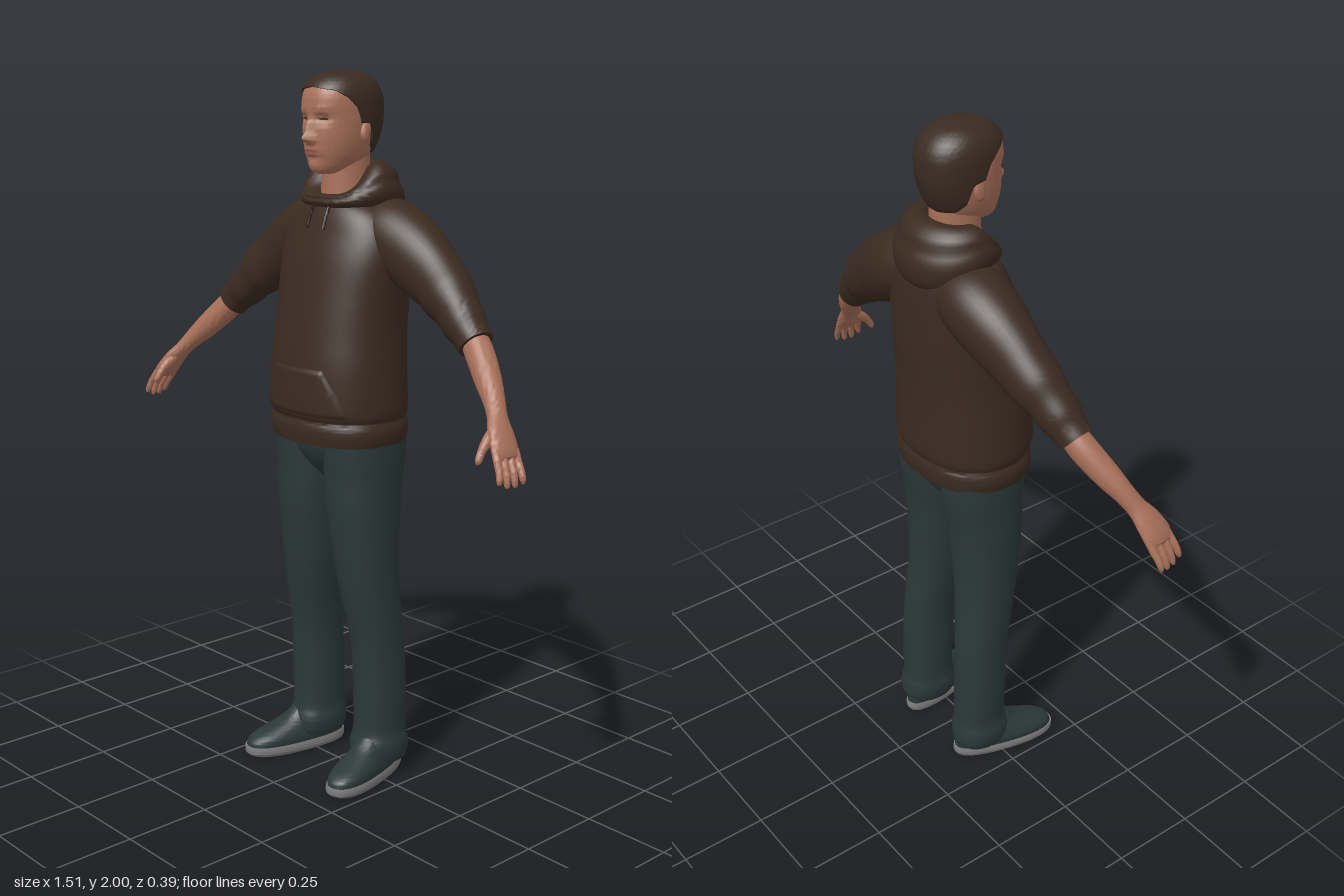
import * as THREE from 'three';
import { toCreasedNormals } from 'three/addons/utils/BufferGeometryUtils.js';

const V3 = (x, y, z) => new THREE.Vector3(x, y, z);
const lerp = THREE.MathUtils.lerp;
const mat = (name, color) => Object.assign(new THREE.MeshStandardMaterial({ color }), { name });

// Surface from fn(i / nu, j / nv); faces look along u cross v
function grid(fn, nu, nv) {
  const pos = [], idx = [], w = nu + 1;
  for (let j = 0; j <= nv; j++) for (let i = 0; i <= nu; i++) pos.push(...fn(i / nu, j / nv).toArray());
  for (let j = 0; j < nv; j++) for (let i = 0; i < nu; i++) {
    const a = j * w + i;
    idx.push(a, a + 1, a + w + 1, a, a + w + 1, a + w);
  }
  const g = new THREE.BufferGeometry();
  g.setAttribute('position', new THREE.Float32BufferAttribute(pos, 3));
  g.setIndex(idx);
  return g;
}

// Catmull-Rom refinement of cross-sections [x, y, z, radiusU, radiusV]
function smooth(secs, n = 5) {
  const out = [], at = i => secs[THREE.MathUtils.clamp(i, 0, secs.length - 1)];
  for (let i = 0; i < secs.length - 1; i++) for (let k = 0; k < n; k++) {
    const t = k / n;
    out.push(secs[i].map((p1, c) => {
      const p0 = at(i - 1)[c], p2 = at(i + 1)[c], p3 = at(i + 2)[c];
      return 0.5 * (2 * p1 + (p2 - p0) * t + (2 * p0 - 5 * p1 + 4 * p2 - p3) * t * t + (3 * p1 - p0 - 3 * p2 + p3) * t * t * t);
    }));
  }
  return [...out, secs[secs.length - 1]];
}

// Superellipse rings: horizontal (bottom to top), or square to the path
function loft(rings, { seg = 32, exp = 2, along = false } = {}) {
  const last = rings.length - 1, c = rings.map(r => V3(r[0], r[1], r[2]));
  const pw = v => Math.sign(v) * Math.abs(v) ** (2 / exp);
  return grid((u, v) => {
    const row = Math.round(v * (last + 2)), k = THREE.MathUtils.clamp(row - 1, 0, last);
    const s = row === 0 || row === last + 2 ? 0 : 1;
    let U = V3(1, 0, 0), W = V3(0, 0, 1);
    if (along) {
      const T = c[Math.min(k + 1, last)].clone().sub(c[Math.max(k - 1, 0)]).normalize();
      W.addScaledVector(T, -T.z).normalize();
      U = T.clone().cross(W);
    }
    const a = u * Math.PI * 2;
    return c[k].clone().addScaledVector(U, s * rings[k][3] * pw(Math.sin(a))).addScaledVector(W, s * rings[k][4] * pw(Math.cos(a)));
  }, seg, last + 2);
}

// Rows [y, halfWidth, zFront, zBack] to centred sections
const body = rows => smooth(rows.map(([y, w, f, b]) => [0, y, (f + b) / 2, w, (f - b) / 2]), 6);

function ringAt(rings, y) {
  let i = 0;
  while (i < rings.length - 2 && rings[i + 1][1] < y) i++;
  const t = THREE.MathUtils.clamp((y - rings[i][1]) / (rings[i + 1][1] - rings[i][1]), 0, 1);
  return rings[i].map((v, c) => lerp(v, rings[i + 1][c], t));
}

function frontZ(rings, x, y, exp) {
  const r = ringAt(rings, y);
  return r[2] + r[4] * Math.max(0, 1 - Math.abs(x / r[3]) ** exp) ** (1 / exp);
}

// Facial relief: [x, y, spreadX, spreadY, depth], sides mirrored
const relief = [
  [0, 1.823, 0.013, 0.013, 0.026], [0, 1.85, 0.01, 0.024, 0.015], [0.013, 1.817, 0.009, 0.008, 0.009],
  [0.036, 1.873, 0.02, 0.012, -0.012], [0.035, 1.896, 0.028, 0.01, 0.005], [0, 1.787, 0.028, 0.011, 0.006],
  [0, 1.787, 0.024, 0.003, -0.004], [0, 1.768, 0.025, 0.006, -0.004], [0, 1.745, 0.022, 0.014, 0.005],
];
const faceRelief = (x, y) => relief.reduce((s, [cx, cy, sx, sy, d]) =>
  s + d * Math.exp(-(((Math.abs(x) - cx) / sx) ** 2) - ((y - cy) / sy) ** 2), 0);

export function createModel() {
  const model = new THREE.Group();
  model.name = 'standingMan';
  const skin = mat('skin', 0xa87059), hoodie = mat('hoodieBrown', 0x3b2b20), hair = mat('hairBrown', 0x3a2b21);
  const trousers = mat('trouserSlate', 0x2b3838), sole = mat('soleGrey', 0x7c7c7c);
  const lip = mat('lips', 0x94594a), dark = mat('eyeDark', 0x3f2a22), cord = mat('cord', 0x2a1d15);

  const add = (name, geo, material) => {
    const m = new THREE.Mesh(toCreasedNormals(geo, 0.95), material);
    m.name = name;
    model.add(m);
  };
  const addPair = (name, geo, material) => {
    const flip = geo.clone().scale(-1, 1, 1);
    flip.index.array.reverse();
    add(name + 'Left', geo, material);
    add(name + 'Right', flip, material);
  };
  const limb = (secs, seg = 28) => loft(smooth(secs), { seg, along: true });

  // Hoodie body with ribbed hem
  const torso = body([
    [0.995, 0.203, 0.153, -0.16], [1.02, 0.209, 0.158, -0.164], [1.045, 0.208, 0.158, -0.164], [1.06, 0.201, 0.153, -0.16],
    [1.09, 0.207, 0.162, -0.167], [1.2, 0.203, 0.16, -0.165], [1.3, 0.197, 0.147, -0.167], [1.4, 0.199, 0.13, -0.172],
    [1.5, 0.205, 0.108, -0.172], [1.57, 0.196, 0.085, -0.17], [1.62, 0.165, 0.068, -0.163], [1.65, 0.12, 0.05, -0.15], [1.67, 0.06, 0.02, -0.1],
  ]);
  add('hoodieBody', loft(torso, { seg: 56, exp: 2.3 }), hoodie);

  // Front pouch pocket, its edges sunk into the cloth
  add('pouchPocket', grid((u, v) => {
    const y = lerp(1.075, 1.21, v), x = (u * 2 - 1) * lerp(0.165, 0.095, v ** 1.4);
    const edge = Math.min(u, 1 - u, v, 1 - v);
    return V3(x, y, frontZ(torso, x, y, 2.3) + (edge < 0.01 ? -0.003 : 0.006));
  }, 30, 16), hoodie);

  // Folded hood around the neck, low at the front and deep at the back
  add('hood', grid((u, v) => {
    const a = v * Math.PI * 2, p = u * Math.PI * 2, k = (1 + Math.cos(a)) / 2;
    const top = lerp(1.672, 1.758, THREE.MathUtils.smoothstep(k, 0, 0.55));
    const bottom = lerp(1.635, 1.58, THREE.MathUtils.smoothstep(k, 0.4, 1));
    const crease = 1 - 0.16 * Math.exp(-(((p < Math.PI ? p : p - 2 * Math.PI) - 0.35) ** 2) / 0.03);
    const r = (0.026 + 0.03 * Math.sqrt(k)) * crease * Math.cos(p) - 0.014 * Math.sin(p) * k;
    const y = (top + bottom) / 2 + (top - bottom) / 2 * Math.sin(p);
    return V3((0.106 + r) * Math.sin(a), y, -0.042 - (0.09 + r) * Math.cos(a));
  }, 32, 64), hoodie);

  // Drawstrings
  addPair('drawstring', limb([1.655, 1.635, 1.61, 1.58].map((y, i) =>
    [0.03 + i * 0.001, y, frontZ(torso, 0.03, y, 2.3) + (i ? 0.004 : 0.015), 0.0045, 0.0045]), 8), cord);

  // Sleeves pushed up to the elbow
  addPair('sleeve', limb([
    [0.06, 1.585, -0.07, 0.08, 0.08], [0.14, 1.565, -0.07, 0.098, 0.098], [0.22, 1.525, -0.068, 0.1, 0.092],
    [0.3, 1.475, -0.062, 0.09, 0.077], [0.345, 1.447, -0.057, 0.08, 0.073], [0.38, 1.42, -0.05, 0.076, 0.071],
    [0.415, 1.392, -0.043, 0.064, 0.061], [0.45, 1.36, -0.035, 0.06, 0.058], [0.475, 1.338, -0.03, 0.051, 0.05], [0.5, 1.315, -0.025, 0.049, 0.047],
  ], 36), hoodie);

  // Forearm running into the palm
  addPair('forearmAndPalm', limb([
    [0.47, 1.345, -0.035, 0.035, 0.035], [0.52, 1.295, -0.018, 0.039, 0.038], [0.58, 1.235, 0.012, 0.035, 0.035],
    [0.62, 1.195, 0.034, 0.028, 0.029], [0.65, 1.16, 0.053, 0.022, 0.029], [0.675, 1.13, 0.068, 0.02, 0.039],
    [0.7, 1.095, 0.08, 0.017, 0.044], [0.713, 1.074, 0.087, 0.012, 0.041], [0.716, 1.068, 0.088, 0.005, 0.03],
  ]), skin);

  // Fingers fan out from the knuckles, with a thumb at the front
  const across = V3(-0.17, 0.21, 0.96);
  [-0.033, -0.011, 0.011, 0.032].forEach((o, i) => {
    const drop = [0.016, 0.004, 0, 0.006][i];
    const path = [[0.7, 1.095, 0.08, 0.011], [0.718, 1.066, 0.088, 0.0105], [0.733, 1.037 + drop / 2, 0.094, 0.0095],
      [0.74, 1.012 + drop, 0.098, 0.008], [0.741, 1.003 + drop, 0.099, 0.004]];
    addPair('finger' + (i + 1), limb(path.map(([x, y, z, r], k) => {
      const s = o * (1 + k * 0.05);
      return [x + across.x * s, y + across.y * s, z + across.z * s, r, r];
    }), 12), skin);
  });
  addPair('thumb', limb([[0.662, 1.14, 0.07, 0.014, 0.014], [0.668, 1.115, 0.105, 0.015, 0.015], [0.67, 1.09, 0.13, 0.011, 0.011],
    [0.673, 1.067, 0.145, 0.009, 0.009], [0.674, 1.06, 0.149, 0.004, 0.004]], 12), skin);

  // Trousers: hips and two legs
  add('hips', loft(body([[0.87, 0.03, 0.04, -0.05], [0.92, 0.11, 0.085, -0.1], [0.97, 0.185, 0.11, -0.13], [1.04, 0.195, 0.12, -0.14]]), { exp: 2.3 }), trousers);
  addPair('trouserLeg', loft(smooth([
    [0.136, 0.045, -0.04, 0.066, 0.08], [0.135, 0.065, -0.04, 0.073, 0.088], [0.134, 0.1, -0.04, 0.076, 0.087], [0.133, 0.14, -0.042, 0.069, 0.078],
    [0.133, 0.24, -0.042, 0.071, 0.078], [0.13, 0.4, -0.035, 0.069, 0.08], [0.115, 0.6, -0.01, 0.081, 0.09],
    [0.104, 0.8, -0.003, 0.094, 0.107], [0.099, 0.89, -0.008, 0.099, 0.116], [0.1, 0.95, -0.01, 0.1, 0.122], [0.1, 1.03, -0.01, 0.1, 0.125],
  ]), { seg: 36, exp: 2.2 }), trousers);

  // Shoes: wider at the ball, toes turned out
  const shoe = rows => {
    const g = loft(body(rows.map(([y, w, f, b]) => [y, w, f - 0.035, b - 0.035])), { seg: 40, exp: 2.4 });
    const p = g.attributes.position;
    for (let i = 0; i < p.count; i++) p.setX(i, p.getX(i) * (0.97 + p.getZ(i) * 0.7));
    return g.rotateY(0.22).translate(0.155, 0, 0.035);
  };
  addPair('shoeSole', shoe([[0, 0.055, 0.185, -0.125], [0.008, 0.059, 0.197, -0.13], [0.02, 0.06, 0.199, -0.131], [0.03, 0.058, 0.198, -0.13]]), sole);
  addPair('shoeUpper', shoe([[0.027, 0.056, 0.194, -0.126], [0.045, 0.058, 0.188, -0.126], [0.06, 0.055, 0.165, -0.124],
    [0.08, 0.05, 0.11, -0.12], [0.1, 0.045, 0.065, -0.11], [0.13, 0.035, 0.03, -0.1]]), trousers);

  // Neck
  add('neck', loft(body([[1.61, 0.08, 0.045, -0.12], [1.66, 0.068, 0.043, -0.108], [1.72, 0.062, 0.042, -0.1], [1.8, 0.06, 0.04, -0.1]])), skin);

  // Head with sculpted face
  const head = body([
    [1.727, 0.025, 0.075, 0.02], [1.74, 0.046, 0.086, -0.02], [1.765, 0.066, 0.092, -0.078], [1.79, 0.077, 0.097, -0.1],
    [1.82, 0.084, 0.1, -0.115], [1.85, 0.088, 0.1, -0.124], [1.88, 0.09, 0.1, -0.128], [1.92, 0.09, 0.102, -0.127],
    [1.95, 0.084, 0.093, -0.115], [1.972, 0.069, 0.074, -0.095], [1.987, 0.045, 0.044, -0.065], [1.993, 0.005, -0.005, -0.015],
  ]);
  const headGeo = loft(head, { seg: 96, exp: 2.2 }), hp = headGeo.attributes.position;
  for (let i = 0; i < hp.count; i++) {
    const w = THREE.MathUtils.smoothstep(hp.getZ(i), 0, 0.06);
    hp.setZ(i, hp.getZ(i) + w * faceRelief(hp.getX(i), hp.getY(i)));
  }
  add('head', headGeo, skin);

  // Eyes and lips as thin plates following the face
  const facePlate = (cx, cy, rx, ry) => grid((u, v) => {
    const y = cy + (v * 2 - 1) * ry, x = cx + (u * 2 - 1) * rx * Math.sqrt(Math.max(0, 1 - (v * 2 - 1) ** 2));
    return V3(x, y, frontZ(head, x, y, 2.2) + faceRelief(x, y) + 0.0018);
  }, 14, 8);
  addPair('eye', facePlate(0.036, 1.873, 0.013, 0.0035), dark);
  add('mouth', facePlate(0, 1.787, 0.024, 0.006), lip);

  // Ears
  addPair('ear', new THREE.SphereGeometry(1, 16, 12).scale(0.009, 0.03, 0.017).rotateX(-0.2).translate(0.09, 1.838, -0.018), skin);

  // Short hair: shell rising from a hairline given as [angle from front, y]
  const line = [[0, 1.955], [0.8, 1.946], [1.15, 1.928], [1.4, 1.9], [1.5, 1.86], [1.75, 1.852], [1.95, 1.8], [2.3, 1.778], [3.1416, 1.765]];
  const hairline = a => {
    let i = 0;
    while (i < line.length - 2 && line[i + 1][0] < a) i++;
    return lerp(line[i][1], line[i + 1][1], Math.min(1, (a - line[i][0]) / (line[i + 1][0] - line[i][0])));
  };
  const pw = v => Math.sign(v) * Math.abs(v) ** (2 / 2.2);
  add('hair', grid((u, v) => {
    const a = (u * 2 - 1) * Math.PI, y = lerp(hairline(Math.abs(a)), 1.993, Math.sin(v * Math.PI / 2));
    const r = ringAt(head, y), o = v === 0 ? -0.003 : 0.007;
    return V3((r[3] + o) * pw(Math.sin(a)), y + (v === 0 ? 0 : 0.007 * v), r[2] + (r[4] + o) * pw(Math.cos(a)));
  }, 96, 36), hair);
  add('hairCrown', new THREE.SphereGeometry(0.03, 20, 10).scale(1, 0.16, 1).translate(0, 1.9955, -0.01), hair);

  return model;
}
